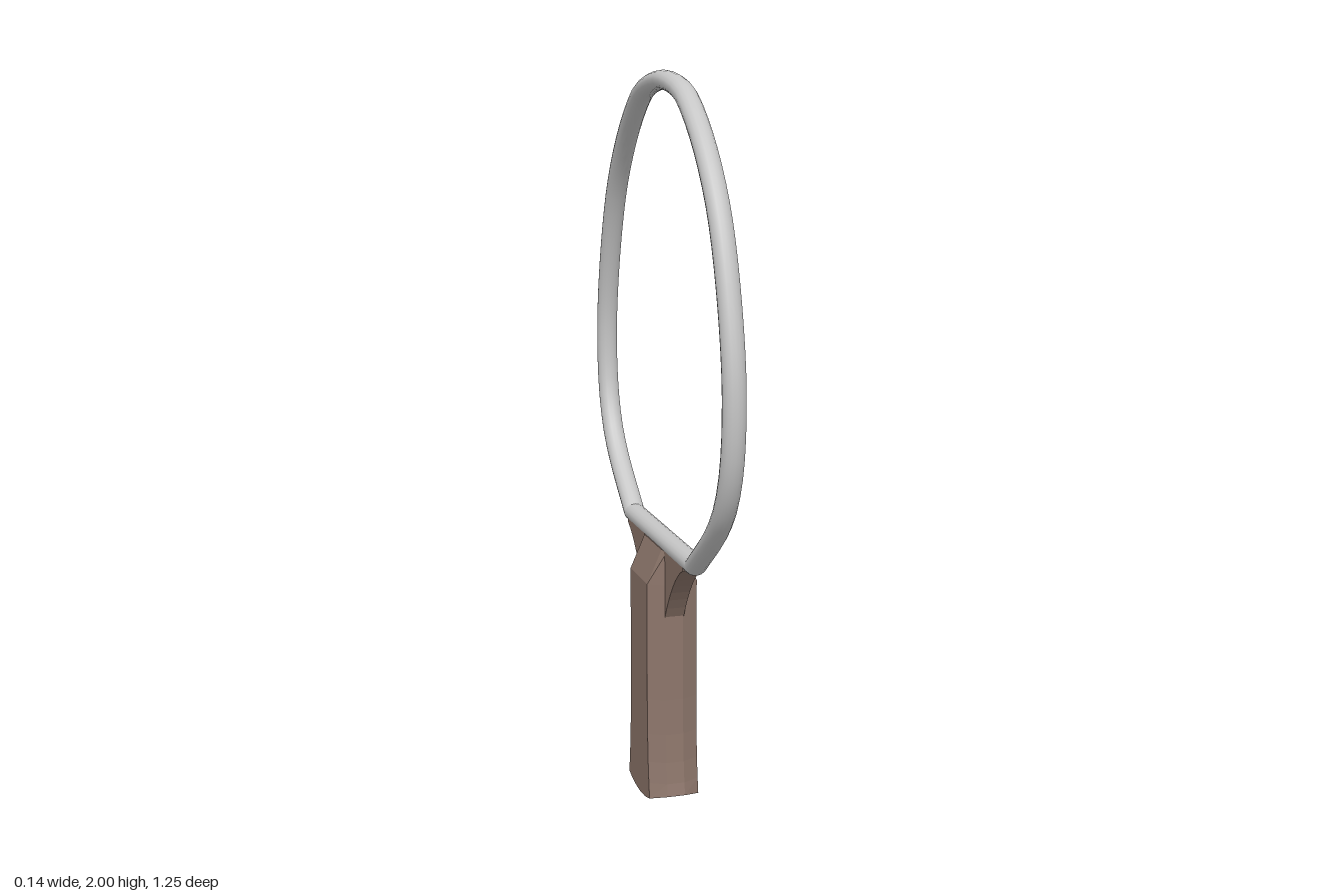
import * as THREE from 'three';

const rimGrey = new THREE.MeshStandardMaterial({ color: 0xc6c6c6 });
rimGrey.name = 'rimGrey';
const gripBrown = new THREE.MeshStandardMaterial({ color: 0x8d766b, flatShading: true });
gripBrown.name = 'gripBrown';

const TUBE = 0.026;   // tube radius in the plane of the hoop
const WIDEN = 1.17;   // the tube is slightly wider across x
const BAR_Y = 0.736;
const BAR_Z = 0.298;

function add(group, name, geometry, material) {
  const mesh = new THREE.Mesh(geometry, material);
  mesh.name = name;
  group.add(mesh);
  return mesh;
}

// Egg-shaped hoop closed by a straight bar
function createRim() {
  const rim = new THREE.Group();
  rim.name = 'rim';
  // half outline as [z, y], from the bar up to the crown
  const half = [
    [BAR_Z, BAR_Y], [0.473, 0.87], [0.541, 0.95], [0.587, 1.065], [0.599, 1.245],
    [0.562, 1.445], [0.481, 1.655], [0.375, 1.8], [0.262, 1.9], [0.185, 1.945], [0.05, 1.973],
  ];
  const points = [...half, ...half.map(([z, y]) => [-z, y]).reverse()]
    .map(([z, y]) => new THREE.Vector3(0, y, z));
  const path = new THREE.CatmullRomCurve3(points, false, 'centripetal');
  add(rim, 'hoop', new THREE.TubeGeometry(path, 64, TUBE, 16), rimGrey);

  const bar = new THREE.CylinderGeometry(TUBE, TUBE, BAR_Z * 2, 16, 1, true);
  bar.rotateX(Math.PI / 2).translate(0, BAR_Y, 0);
  add(rim, 'crossBar', bar, rimGrey);

  for (const side of [1, -1]) {
    const joint = new THREE.SphereGeometry(TUBE, 16, 10);
    joint.translate(0, BAR_Y, side * BAR_Z);
    add(rim, 'rimCorner', joint, rimGrey);
  }
  rim.scale.x = WIDEN;
  return rim;
}

// Bevelled grip: a box grid whose rows follow [height, half width, half depth]
function createGrip() {
  const rows = [
    [0, 0.071, 0.13], [0.06, 0.071, 0.123], [0.12, 0.071, 0.116], [0.2, 0.071, 0.111],
    [0.3, 0.071, 0.108], [0.63, 0.071, 0.108], [0.725, 0.03, 0.108],
  ];
  const geometry = new THREE.BoxGeometry(1, 1, 1, 3, rows.length - 1, 8);
  const pos = geometry.attributes.position;
  for (let i = 0; i < pos.count; i++) {
    const row = Math.round((pos.getY(i) + 0.5) * (rows.length - 1));
    const [height, width, depth] = rows[row];
    const u = pos.getX(i) * 2;
    const outer = Math.abs(u) > 0.9;
    const x = outer ? Math.sign(u) * width : Math.sign(u) * Math.min(0.025, width * 0.7);
    const z = pos.getZ(i) * 2 * (outer ? depth - 0.024 : depth);
    const y = row === 0 ? 0.025 * (z / 0.13) ** 2 : height;   // rounded butt
    pos.setXYZ(i, x, y, z);
  }
  geometry.computeVertexNormals();
  return geometry;
}

// Concave web between grip and bar, drawn in the hoop's plane
function createWeb() {
  const shape = new THREE.Shape();
  shape.moveTo(0.08, 0.537);
  shape.lineTo(0.106, 0.537);
  shape.quadraticCurveTo(0.178, 0.67, 0.268, 0.715);
  shape.lineTo(0.268, 0.725);
  shape.lineTo(0.08, 0.725);
  const thickness = 0.054;
  const geometry = new THREE.ExtrudeGeometry(shape, {
    depth: thickness, bevelEnabled: false, curveSegments: 8,
  });
  return geometry.translate(0, 0, -thickness / 2);
}

export function createModel() {
  const model = new THREE.Group();
  model.name = 'racketFrame';
  model.add(createRim());

  const handle = new THREE.Group();
  handle.name = 'handle';
  add(handle, 'grip', createGrip(), gripBrown);
  const web = createWeb();
  for (const side of [1, -1]) {
    add(handle, side > 0 ? 'frontWeb' : 'backWeb', web, gripBrown).rotation.y = -side * Math.PI / 2;
  }
  model.add(handle);
  return model;
}
